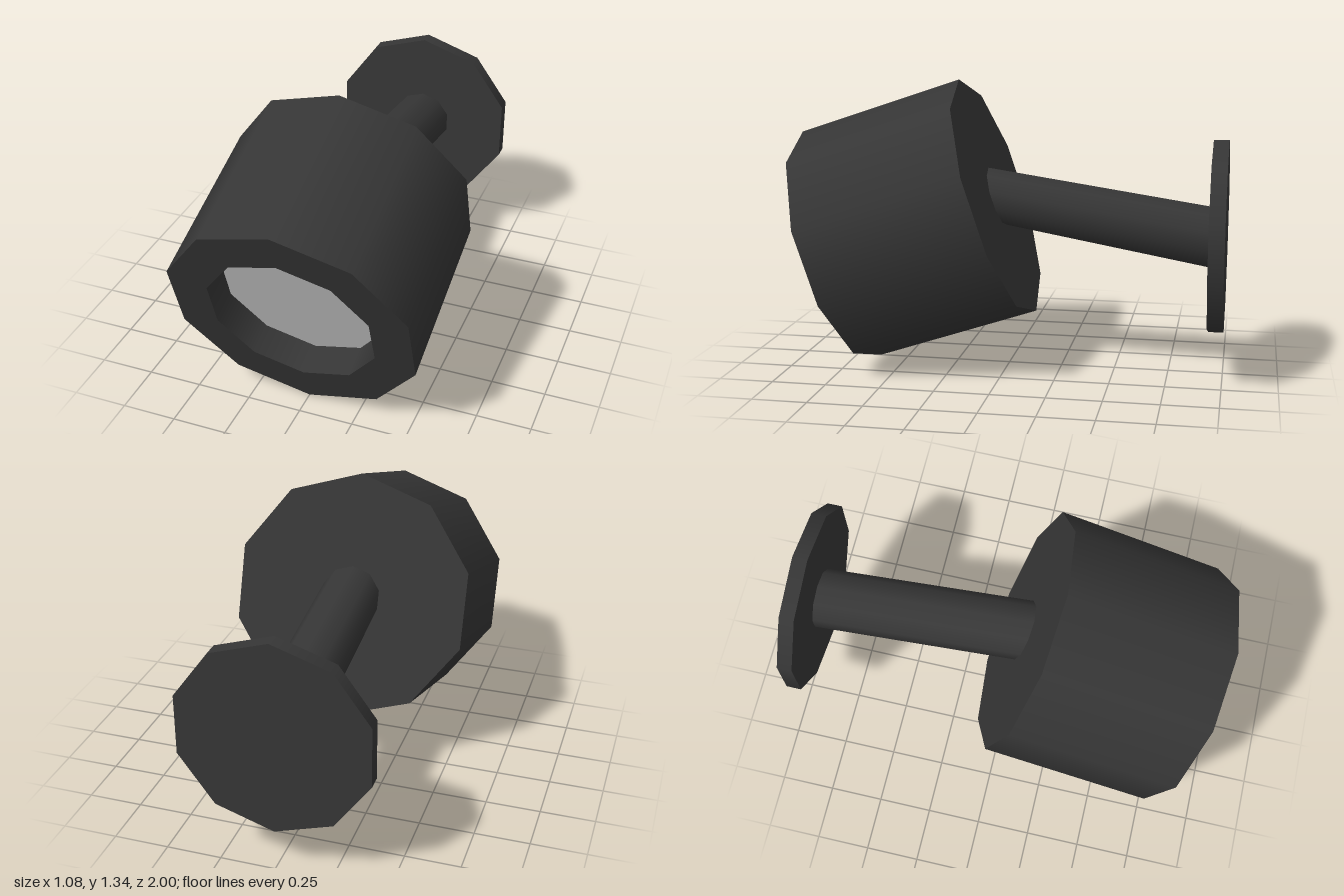
import * as THREE from 'three';

const SIDES = 10;
const TILT = 0.326; // downward pitch of the lamp head

export function createModel() {
  const dark = new THREE.MeshStandardMaterial({ color: 0x363636, side: THREE.DoubleSide });
  dark.name = 'dark metal';
  const glass = new THREE.MeshStandardMaterial({ color: 0xc0c0c0 });
  glass.name = 'pale lens';

  const model = new THREE.Group();
  const add = (parent, name, geometry, material) => {
    const mesh = new THREE.Mesh(geometry, material);
    mesh.name = name;
    parent.add(mesh);
    return mesh;
  };
  // ten-sided tube along z, corners at top and bottom
  const tube = (r, length, open = true) =>
    new THREE.CylinderGeometry(r, r, length, SIDES, 1, open).rotateX(Math.PI / 2);
  const disc = (r) => new THREE.CircleGeometry(r, SIDES, Math.PI / 2);

  // wall plate
  add(model, 'wallPlate', tube(0.445, 0.07, false), dark).position.set(0, 0.645, -0.965);

  // lamp head, its origin at the centre of the back face
  const head = new THREE.Group();
  head.name = 'lampHead';
  head.position.set(0, 0.803, 0.055);
  head.rotation.x = TILT;
  model.add(head);
  const R = 0.57, HOLE = 0.385, LENGTH = 0.803, RECESS = 0.147;
  add(head, 'housing', tube(R, LENGTH), dark).position.z = LENGTH / 2;
  add(head, 'housingBack', disc(R).rotateY(Math.PI), dark);
  add(head, 'frontRim', new THREE.RingGeometry(HOLE, R, SIDES, 1, Math.PI / 2), dark).position.z = LENGTH;
  add(head, 'recessWall', tube(HOLE, RECESS), dark).position.z = LENGTH - RECESS / 2;
  add(head, 'lens', disc(HOLE), glass).position.z = LENGTH - RECESS;

  // arm: one end lies flat on the plate, the other on the tilted back face
  const arm = tube(0.141, 2);
  const pos = arm.attributes.position, nor = arm.attributes.normal;
  const axis = new THREE.Vector3(1, 0, 0), v = new THREE.Vector3();
  const plateEnd = new THREE.Vector3(0, 0.645, -0.93);
  for (let i = 0; i < pos.count; i++) {
    v.fromBufferAttribute(pos, i);
    const atHead = v.z > 0;
    v.z = 0;
    if (atHead) v.applyAxisAngle(axis, TILT).add(head.position);
    else v.add(plateEnd);
    pos.setXYZ(i, v.x, v.y, v.z);
    v.fromBufferAttribute(nor, i).applyAxisAngle(axis, -0.16);
    nor.setXYZ(i, v.x, v.y, v.z);
  }
  add(model, 'arm', arm, dark);

  return model;
}
